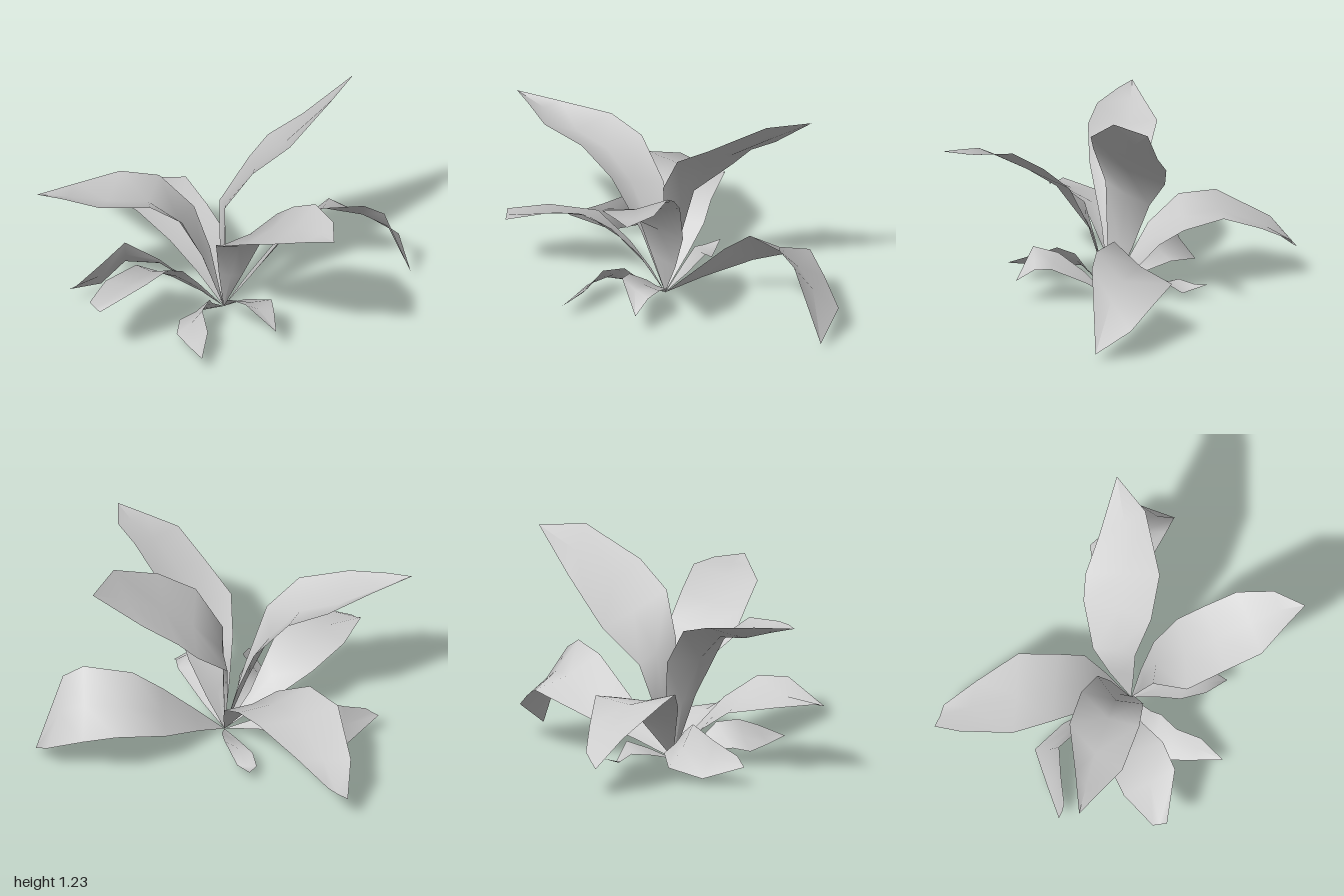
import * as THREE from 'three';

// Each leaf is a list of cross-sections from base to tip:
// [left edge x,y,z, right edge x,y,z], or a single point [x,y,z].
const BASE = [0, 0.01, 0.04];
const LEAVES = {
  tallBackLeaf: [
    [-0.03, 0.3, -0.08, 0.01, 0.34, 0.05],
    [-0.04, 0.56, -0.18, 0.01, 0.68, 0.06],
    [0.11, 0.75, -0.335, 0.16, 0.92, 0.07],
    [0.21, 0.87, -0.385, 0.36, 1.06, 0.0],
    [0.4, 1.0, -0.415, 0.58, 1.235, -0.23],
    [0.67, 1.23, -0.47],
  ],
  highSideLeaf: [
    [-0.1, 0.38, 0.13, -0.08, 0.34, -0.04],
    [-0.21, 0.7, 0.25, -0.17, 0.59, -0.07],
    [-0.38, 0.85, 0.33, -0.36, 0.8, -0.055],
    [-0.65, 0.875, 0.39, -0.57, 0.855, 0.0],
    [-0.86, 0.9, 0.355, -0.8, 0.885, 0.18],
    [-1.0, 0.905, 0.33],
  ],
  highFrontLeaf: [
    [0.1, 0.22, 0.04, -0.02, 0.28, 0.12],
    [0.2, 0.45, 0.06, -0.03, 0.53, 0.2],
    [0.3, 0.72, 0.15, 0.0, 0.66, 0.4],
    [0.4, 0.85, 0.26, 0.16, 0.78, 0.54],
    [0.53, 0.965, 0.39, 0.32, 0.89, 0.68],
    [0.64, 0.97, 0.56, 0.5, 0.935, 0.715],
    [0.66, 0.97, 0.75],
  ],
  broadBackLeaf: [
    [-0.15, 0.2, -0.01, -0.01, 0.2, -0.12],
    [-0.3, 0.36, -0.06, -0.03, 0.34, -0.24],
    [-0.49, 0.48, -0.16, -0.12, 0.41, -0.35],
    [-0.66, 0.47, -0.31, -0.25, 0.46, -0.53],
    [-0.76, 0.32, -0.59, -0.47, 0.35, -0.66],
    [-0.76, 0.165, -0.75, -0.65, 0.24, -0.76],
  ],
  droopingSideLeaf: [
    [0.12, 0.11, -0.13, 0.15, 0.18, -0.03],
    [0.28, 0.22, -0.35, 0.32, 0.38, -0.13],
    [0.53, 0.34, -0.555, 0.48, 0.52, -0.19],
    [0.72, 0.27, -0.52, 0.75, 0.55, -0.2],
    [0.92, 0.18, -0.475, 0.86, 0.49, -0.22],
    [1.0, 0.05, -0.3],
  ],
  midFrontLeaf: [
    [-0.13, 0.21, 0.12, -0.12, 0.11, 0.05],
    [-0.21, 0.38, 0.25, -0.28, 0.22, 0.08],
    [-0.28, 0.5, 0.42, -0.47, 0.345, 0.16],
    [-0.38, 0.5, 0.56, -0.62, 0.385, 0.38],
    [-0.63, 0.375, 0.665, -0.69, 0.4, 0.61],
  ],
  lowFrontLeaf: [
    [-0.05, 0.14, 0.2, -0.13, 0.07, 0.18],
    [-0.06, 0.21, 0.27, -0.22, 0.09, 0.3],
    [-0.09, 0.22, 0.39, -0.23, 0.065, 0.4],
    [-0.05, 0.17, 0.52, -0.15, 0.08, 0.54],
    [-0.07, 0.1, 0.675],
  ],
  lowSideLeaf: [
    [-0.2, 0.14, -0.01, -0.2, 0.11, -0.08],
    [-0.36, 0.24, -0.05, -0.36, 0.13, -0.17],
    [-0.55, 0.32, -0.08, -0.56, 0.09, -0.23],
    [-0.66, 0.24, 0.0, -0.68, 0.04, -0.08],
    [-0.77, 0.17, 0.09, -0.84, 0.12, 0.1],
  ],
  lowRightLeaf: [
    [0.13, 0.12, 0.12, 0.03, 0.15, 0.18],
    [0.28, 0.23, 0.27, 0.06, 0.25, 0.32],
    [0.3, 0.22, 0.36, 0.15, 0.3, 0.43],
    [0.32, 0.15, 0.46],
  ],
  lowBackLeaf: [
    [-0.09, 0.06, -0.12, 0.0, 0.08, -0.1],
    [-0.19, 0.1, -0.29, -0.03, 0.14, -0.25],
    [-0.22, 0.07, -0.37, -0.11, 0.05, -0.345],
    [-0.19, 0.09, -0.46],
  ],
};
// Depth of the midrib fold as a share of the leaf width
const FOLD = 0.06;
const DEEP_FOLDS = { highSideLeaf: 0.19 };

// Lofts one leaf through its sections, folded along the midrib
function leafGeometry(sections, fold) {
  const rows = [BASE, ...sections].map((s) => {
    const left = new THREE.Vector3(...s.slice(0, 3));
    const right = s.length > 3 ? new THREE.Vector3(...s.slice(3)) : left.clone();
    return { left, right, mid: left.clone().lerp(right, 0.5) };
  });
  const centres = rows.map((r) => r.mid.clone());
  const positions = [];
  const index = [];
  rows.forEach((row, i) => {
    const across = row.right.clone().sub(row.left);
    const along = centres[Math.min(i + 1, rows.length - 1)].clone().sub(centres[Math.max(i - 1, 0)]);
    const up = across.clone().cross(along).normalize();
    row.mid.addScaledVector(up, -fold * across.length());
    for (const p of [row.left, row.mid, row.right]) positions.push(p.x, p.y, p.z);
    if (i === 0) return;
    for (let c = 0; c < 2; c++) {
      const a = (i - 1) * 3 + c, b = a + 1, d = a + 3, e = a + 4;
      index.push(a, b, e, a, e, d);
    }
  });
  const geometry = new THREE.BufferGeometry();
  geometry.setAttribute('position', new THREE.Float32BufferAttribute(positions, 3));
  geometry.setIndex(index);
  geometry.computeVertexNormals();
  return geometry;
}

export function createModel() {
  const plant = new THREE.Group();
  plant.name = 'leafyPlant';
  const leafGrey = new THREE.MeshStandardMaterial({ color: 0xcccccc, side: THREE.DoubleSide });
  leafGrey.name = 'leafGrey';
  for (const [name, sections] of Object.entries(LEAVES)) {
    const leaf = new THREE.Mesh(leafGeometry(sections, DEEP_FOLDS[name] ?? FOLD), leafGrey);
    leaf.name = name;
    plant.add(leaf);
  }
  return plant;
}
